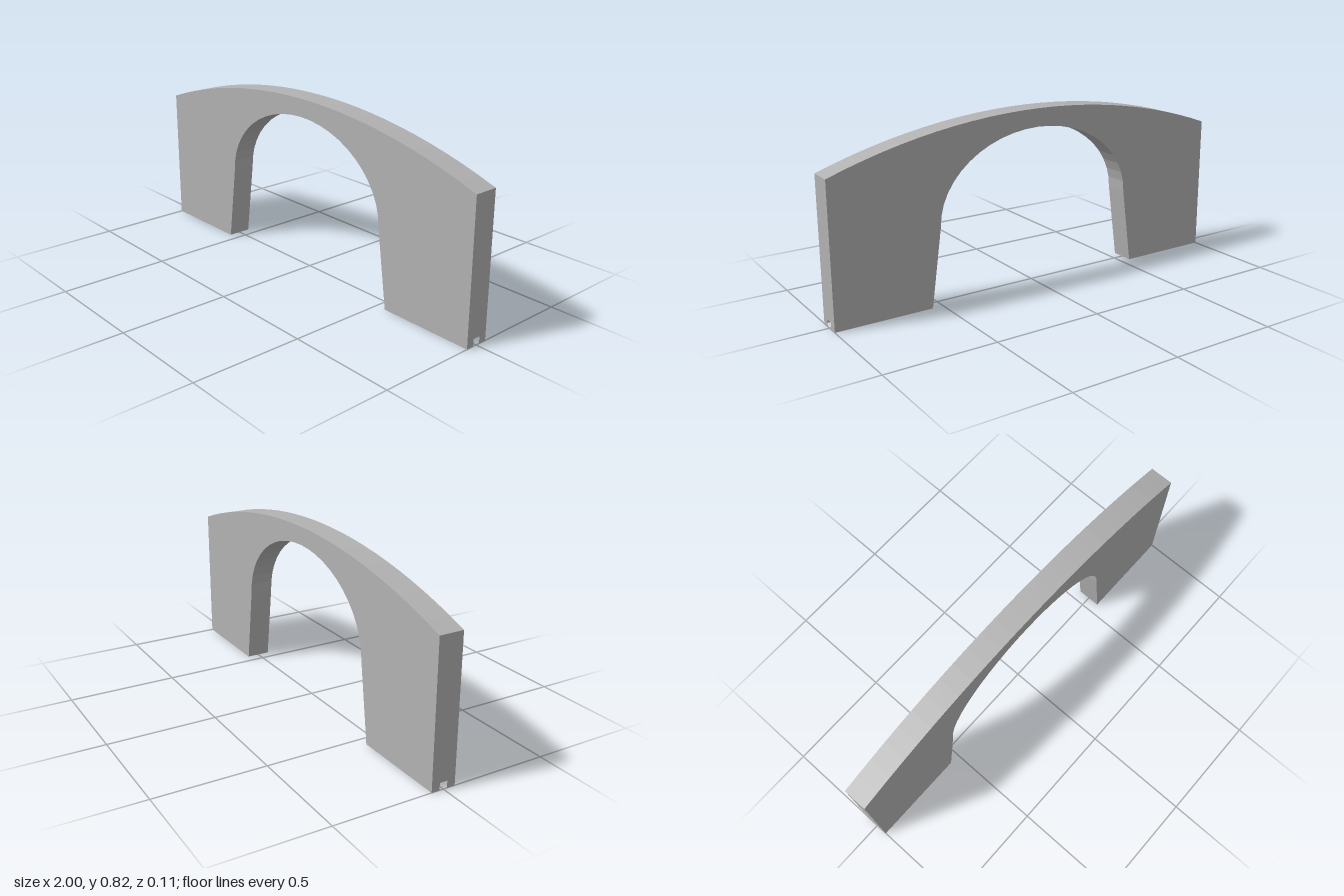
import * as THREE from 'three';

const HALF = 0.0555;      // half thickness
const SHOULDER = 0.645;   // height of the outer ends
const RISE = 0.173;       // rise of the curved top
const SPRING = 0.36;      // height where the opening starts to curve

// Curved top, left to right, on a circular arc
function topProfile(segments = 24) {
  const radius = (1 + RISE * RISE) / (2 * RISE);
  const sweep = Math.asin(1 / radius);
  return Array.from({ length: segments + 1 }, (_, i) => {
    const a = sweep * (2 * i / segments - 1);
    return new THREE.Vector2(radius * Math.sin(a), SHOULDER + RISE - radius * (1 - Math.cos(a)));
  });
}

// Opening, right to left: sloping jambs joined by a half ellipse
function openingProfile(segments = 24) {
  const points = [new THREE.Vector2(0.55, 0)];
  for (let i = 0; i <= segments; i++) {
    const a = Math.PI * i / segments;
    points.push(new THREE.Vector2(0.5 * Math.cos(a), SPRING + 0.375 * Math.sin(a)));
  }
  points.push(new THREE.Vector2(-0.55, 0));
  return points;
}

// Flat-faced strip spanning the thickness along a profile
function strip(profile) {
  const positions = [];
  for (let i = 0; i < profile.length - 1; i++) {
    const p = profile[i], q = profile[i + 1];
    const a = [p.x, p.y, HALF], b = [q.x, q.y, HALF];
    const c = [q.x, q.y, -HALF], d = [p.x, p.y, -HALF];
    positions.push(...a, ...b, ...c, ...a, ...c, ...d);
  }
  const geometry = new THREE.BufferGeometry();
  geometry.setAttribute('position', new THREE.Float32BufferAttribute(positions, 3));
  geometry.computeVertexNormals();
  return geometry;
}

export function createModel() {
  const group = new THREE.Group();
  group.name = 'archWall';
  const grey = new THREE.MeshStandardMaterial({ color: 0xb2b2b2, side: THREE.DoubleSide, flatShading: true });
  grey.name = 'plain grey';

  const add = (name, geometry) => {
    const mesh = new THREE.Mesh(geometry, grey);
    mesh.name = name;
    group.add(mesh);
    return mesh;
  };

  const top = topProfile();
  const opening = openingProfile();

  // Front and back faces; the shell is hollow and open underneath
  const outline = new THREE.Shape([
    new THREE.Vector2(1, 0), ...top.slice().reverse(), new THREE.Vector2(-1, 0),
    ...opening.slice().reverse(),
  ]);
  const face = new THREE.ShapeGeometry(outline);
  add('frontFace', face).position.z = HALF;
  const back = add('backFace', face);
  back.position.z = -HALF;
  back.rotation.y = Math.PI;

  // Curved top and underside of the opening
  add('curvedTop', strip(top));
  add('archOpening', strip(opening));

  // End walls, each with a small notch at the foot
  const end = new THREE.Shape([
    [-HALF, 0], [-0.018, 0], [-0.018, 0.032], [0.018, 0.032],
    [0.018, 0], [HALF, 0], [HALF, SHOULDER], [-HALF, SHOULDER],
  ].map(([x, y]) => new THREE.Vector2(x, y)));
  const endGeometry = new THREE.ShapeGeometry(end);
  for (const side of [1, -1]) {
    const wall = add(side > 0 ? 'leftEndWall' : 'rightEndWall', endGeometry);
    wall.position.x = side;
    wall.rotation.y = side * Math.PI / 2;
  }
  return group;
}
